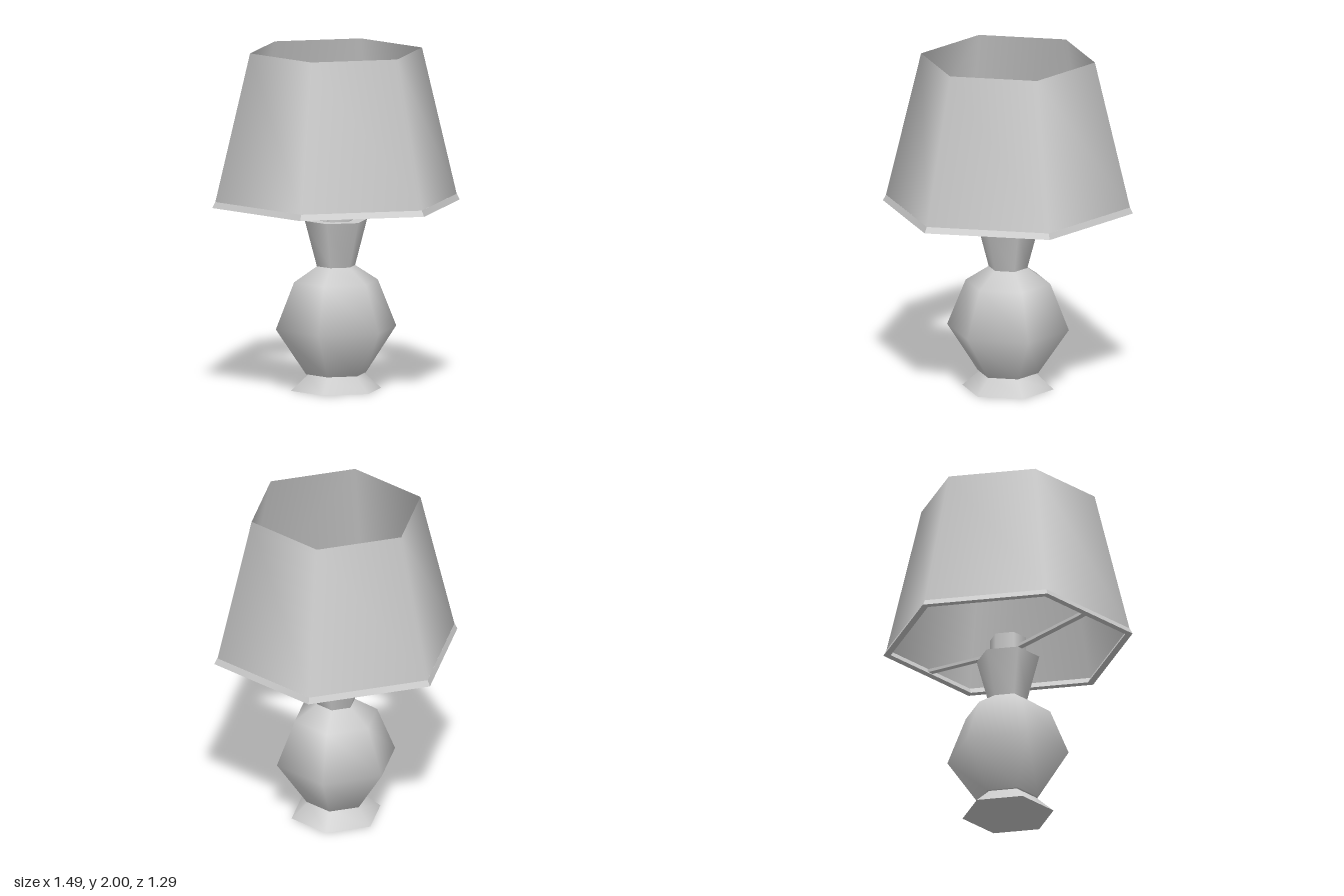
import * as THREE from 'three';
import { mergeGeometries } from 'three/addons/utils/BufferGeometryUtils.js';

// Six-sided lathe with a corner on +x; each band is smooth within itself, sharp against its neighbours
function hexLathe(name, bands, { flat = false, open = false } = {}) {
  const parts = bands.map((band) => {
    const points = band.map(([r, y]) => new THREE.Vector2(r, y));
    return new THREE.LatheGeometry(points, 6, Math.PI / 2);
  });
  const material = new THREE.MeshStandardMaterial({
    color: 0xcccccc,
    flatShading: flat,
    side: open ? THREE.DoubleSide : THREE.FrontSide,
  });
  const mesh = new THREE.Mesh(mergeGeometries(parts), material);
  mesh.name = name;
  return mesh;
}

// Square bar between two points in the plane x = 0
function bar(name, from, to, width, height) {
  const a = new THREE.Vector3(...from);
  const b = new THREE.Vector3(...to);
  const mesh = new THREE.Mesh(
    new THREE.BoxGeometry(width, height, a.distanceTo(b)),
    new THREE.MeshStandardMaterial({ color: 0xcccccc })
  );
  mesh.position.copy(a).add(b).multiplyScalar(0.5);
  mesh.lookAt(b);
  mesh.name = name;
  return mesh;
}

export function createModel() {
  const lamp = new THREE.Group();
  lamp.name = 'tableLamp';

  // Flared foot
  lamp.add(hexLathe('foot', [
    [[0, 0], [0.272, 0]],
    [[0.272, 0], [0.165, 0.095]],
  ]));

  // Faceted vase body with a widening collar
  lamp.add(hexLathe('body', [
    [[0, 0.095], [0.18, 0.095]],
    [[0.18, 0.095], [0.362, 0.365], [0.252, 0.64], [0.115, 0.73]],
    [[0.115, 0.73], [0.187, 1]],
    [[0.187, 1], [0, 1]],
  ]));

  // Bulb socket with a shallow recess
  lamp.add(hexLathe('socket', [
    [[0.108, 1], [0.108, 1.13]],
    [[0.108, 1.13], [0.082, 1.13]],
    [[0.082, 1.13], [0.082, 1.1]],
    [[0.082, 1.1], [0, 1.1]],
  ]));

  // Arms carrying the shade, front and back
  for (const [name, s] of [['frontArm', 1], ['backArm', -1]]) {
    lamp.add(bar(name, [0, 1.055, 0.085 * s], [0, 1.113, 0.622 * s], 0.036, 0.018));
  }

  // Thin tapered shade
  lamp.add(hexLathe('shade', [[[0.728, 1.12], [0.517, 2]]], { open: true }));

  // Flared trim round the lower edge of the shade
  lamp.add(hexLathe('shadeTrim', [
    [[0.7, 1.095], [0.744, 1.095], [0.726, 1.13], [0.718, 1.13], [0.7, 1.095]],
  ], { flat: true }));

  return lamp;
}
